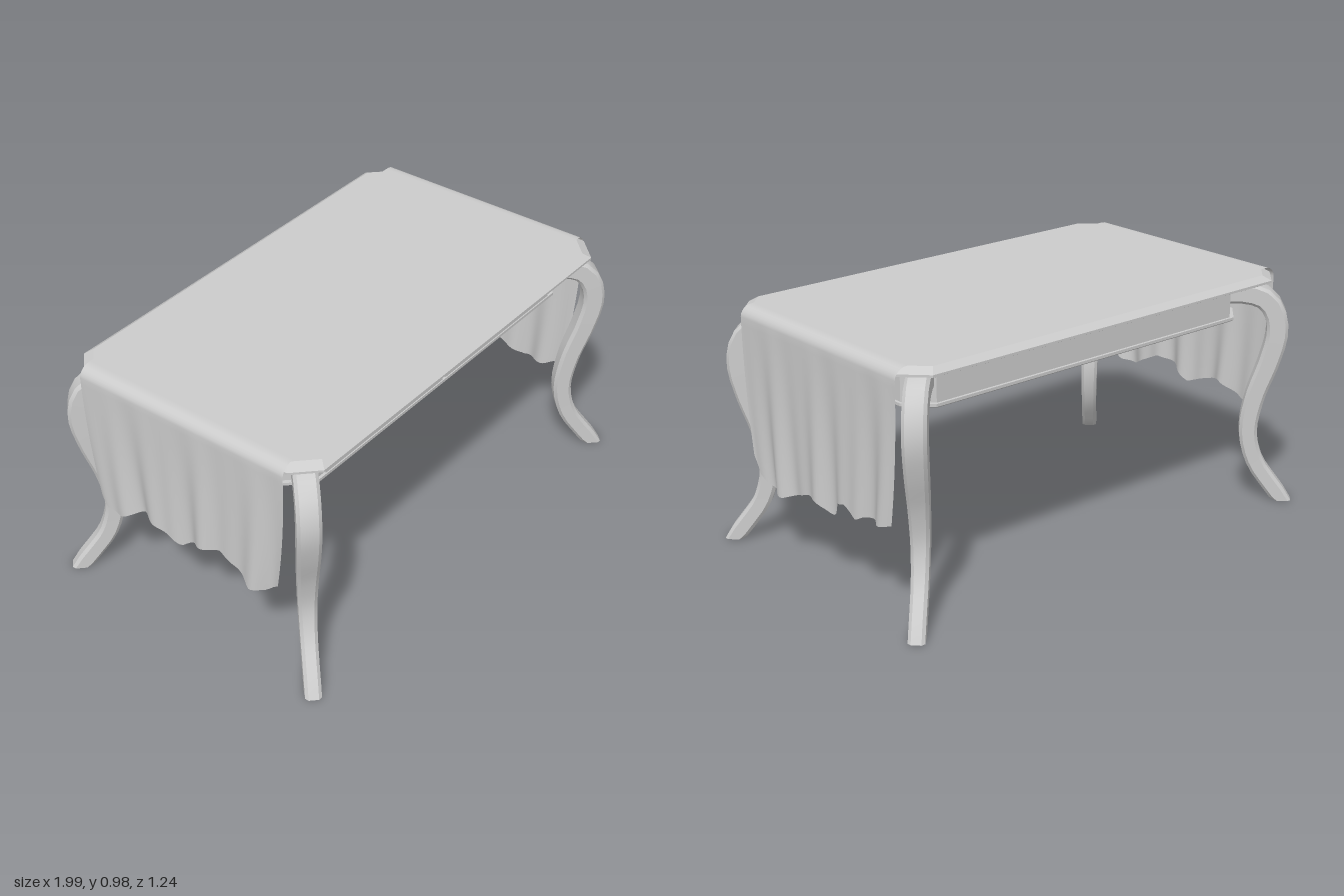
import * as THREE from 'three';
import { toCreasedNormals } from 'three/addons/utils/BufferGeometryUtils.js';

const grey = new THREE.MeshStandardMaterial({ color: 0xcccccc });
const greyDouble = new THREE.MeshStandardMaterial({ color: 0xcccccc, side: THREE.DoubleSide });

// Rectangle with cut corners, as [x, z] pairs
function octagon(hx, hz, c) {
  return [
    [hx, hz - c], [hx, c - hz], [hx - c, -hz], [c - hx, -hz],
    [-hx, c - hz], [-hx, hz - c], [c - hx, hz], [hx - c, hz],
  ];
}

// Skin and cap a stack of matching rings
function loft(rings, crease) {
  const n = rings[0].length, index = [];
  for (let r = 0; r < rings.length - 1; r++) {
    for (let i = 0; i < n; i++) {
      const a = r * n + i, b = r * n + (i + 1) % n;
      index.push(a, b, b + n, a, b + n, a + n);
    }
  }
  const top = (rings.length - 1) * n;
  for (let i = 1; i < n - 1; i++) index.push(0, i + 1, i, top, top + i, top + i + 1);
  const geo = new THREE.BufferGeometry().setFromPoints(rings.flat());
  geo.setIndex(index);
  return toCreasedNormals(geo, crease);
}

// Cut-corner slab from rows of [half x, half z, corner cut, y]
function slab(rows) {
  return loft(rows.map(([hx, hz, c, y]) =>
    octagon(hx, hz, c).map(([x, z]) => new THREE.Vector3(x, y, z))), 0.3);
}

// Curved leg swept in the XY plane; it is later turned to point diagonally
function legGeometry() {
  const path = new THREE.CatmullRomCurve3([
    [0.58, 0], [0.54, 0.075], [0.495, 0.17], [0.472, 0.3], [0.487, 0.45], [0.522, 0.6],
    [0.541, 0.72], [0.534, 0.8], [0.506, 0.86], [0.46, 0.885], [0.38, 0.887],
  ].map(([c, y]) => new THREE.Vector3(c * Math.SQRT2, y, 0)));
  const rings = [], steps = 26;
  for (let i = 0; i <= steps; i++) {
    const t = i / steps;
    const p = path.getPointAt(t), d = path.getTangentAt(t);
    if (i === 0) d.set(0, 1, 0);
    const k = THREE.MathUtils.smoothstep(t, 0.1, 0.75);
    const thick = 0.069 + 0.016 * k, wide = 0.062 + 0.026 * k;
    rings.push(octagon(thick / 2, wide / 2, 0.012).map(([u, w]) =>
      new THREE.Vector3(p.x + d.y * u, p.y - d.x * u, w)));
  }
  return loft(rings, 0.55);
}

// Linear lookup in sorted [position, value] pairs
function lookup(pairs, x) {
  for (let i = 1; i < pairs.length; i++) {
    const [x0, y0] = pairs[i - 1], [x1, y1] = pairs[i];
    if (x <= x1) return THREE.MathUtils.lerp(y0, y1, Math.max(0, (x - x0) / (x1 - x0)));
  }
  return pairs[pairs.length - 1][1];
}

// Runner draped over the top, with wavy hems on both ends
function clothGeometry() {
  const hemLeft = [
    [-0.48, 0.385], [-0.42, 0.37], [-0.3, 0.365], [-0.26, 0.345], [-0.22, 0.36], [-0.18, 0.38],
    [-0.12, 0.365], [-0.09, 0.31], [-0.07, 0.298], [-0.03, 0.325], [0, 0.34], [0.08, 0.338],
    [0.15, 0.315], [0.24, 0.283], [0.36, 0.293], [0.42, 0.325], [0.46, 0.39],
  ];
  const hemRight = [
    [-0.48, 0.41], [-0.44, 0.37], [-0.36, 0.37], [-0.24, 0.43], [-0.12, 0.4], [-0.04, 0.37],
    [0.04, 0.42], [0.16, 0.44], [0.25, 0.4], [0.33, 0.36], [0.4, 0.37], [0.46, 0.42],
  ];
  const geo = new THREE.PlaneGeometry(2, 1, 72, 72);
  const pos = geo.attributes.position;
  for (let i = 0; i < pos.count; i++) {
    const v = pos.getX(i), s = Math.sign(v), a = Math.abs(v);
    const z = -0.01 - pos.getY(i) * 0.94;
    if (a < 0.28) {
      pos.setXYZ(i, v / 0.28 * 0.9, 0.976, z);
    } else if (a < 0.45) {
      const q = (a - 0.28) / 0.17 * Math.PI / 2;
      pos.setXYZ(i, s * (0.9 + 0.05 * Math.sin(q)), 0.931 + 0.045 * Math.cos(q), z);
    } else {
      const f = (a - 0.45) / 0.55;
      const y = THREE.MathUtils.lerp(0.931, lookup(s > 0 ? hemLeft : hemRight, z), f);
      const fold = Math.sin(z * 27 + s) * 0.6 + Math.sin(z * 47 + 2 * s) * 0.4;
      const narrow = 1 - 0.09 * f * f;
      pos.setXYZ(i, s * (0.95 - 0.002 * f + 0.02 * f * fold), y, z * narrow);
    }
  }
  geo.computeVertexNormals();
  return geo;
}

export function createModel() {
  const model = new THREE.Group();
  const add = (name, geo, x = 0, y = 0, z = 0, parent = model, material = grey) => {
    const mesh = new THREE.Mesh(geo, material);
    mesh.name = name;
    mesh.position.set(x, y, z);
    parent.add(mesh);
    return mesh;
  };

  // Bevelled top, moulding below it, apron and bottom lip
  add('tableTop', slab([
    [0.925, 0.545, 0.09, 0.936], [0.938, 0.558, 0.09, 0.942],
    [0.938, 0.558, 0.09, 0.951], [0.91, 0.53, 0.085, 0.971],
  ]));
  add('topMoulding', slab([[0.86, 0.47, 0.09, 0.922], [0.87, 0.48, 0.09, 0.937]]));
  add('apron', slab([[0.832, 0.442, 0.09, 0.79], [0.832, 0.442, 0.09, 0.925]]));
  add('apronLip', slab([
    [0.835, 0.445, 0.09, 0.778], [0.843, 0.453, 0.09, 0.784], [0.843, 0.453, 0.09, 0.795],
  ]));

  // Two drawers with raised frames and square knobs
  const outline = new THREE.Shape([[-0.35, -0.064], [0.35, -0.064], [0.35, 0.064], [-0.35, 0.064]]
    .map(([x, y]) => new THREE.Vector2(x, y)));
  outline.holes.push(new THREE.Path([[-0.336, -0.05], [-0.336, 0.05], [0.336, 0.05], [0.336, -0.05]]
    .map(([x, y]) => new THREE.Vector2(x, y))));
  const frame = new THREE.ExtrudeGeometry(outline, { depth: 0.012, bevelEnabled: false });
  for (const s of [-1, 1]) {
    const drawer = new THREE.Group();
    drawer.name = s > 0 ? 'leftDrawer' : 'rightDrawer';
    drawer.position.set(s * 0.36, 0.866, 0.442);
    add('drawerFrame', frame, 0, 0, 0, drawer);
    add('drawerPanel', new THREE.BoxGeometry(0.66, 0.088, 0.012), 0, 0, 0.003, drawer);
    add('drawerKnob', new THREE.BoxGeometry(0.022, 0.022, 0.02), 0, 0.003, 0.016, drawer);
    model.add(drawer);
  }

  // Four legs, each pointing out of its corner
  const leg = legGeometry();
  for (const sx of [-1, 1]) {
    for (const sz of [-1, 1]) {
      const name = (sz > 0 ? 'front' : 'back') + (sx > 0 ? 'Left' : 'Right') + 'Leg';
      add(name, leg, sx * 0.375).rotation.y = Math.atan2(-sz, sx);
    }
  }

  add('tableCloth', clothGeometry(), 0, 0, 0, model, greyDouble);
  return model;
}
